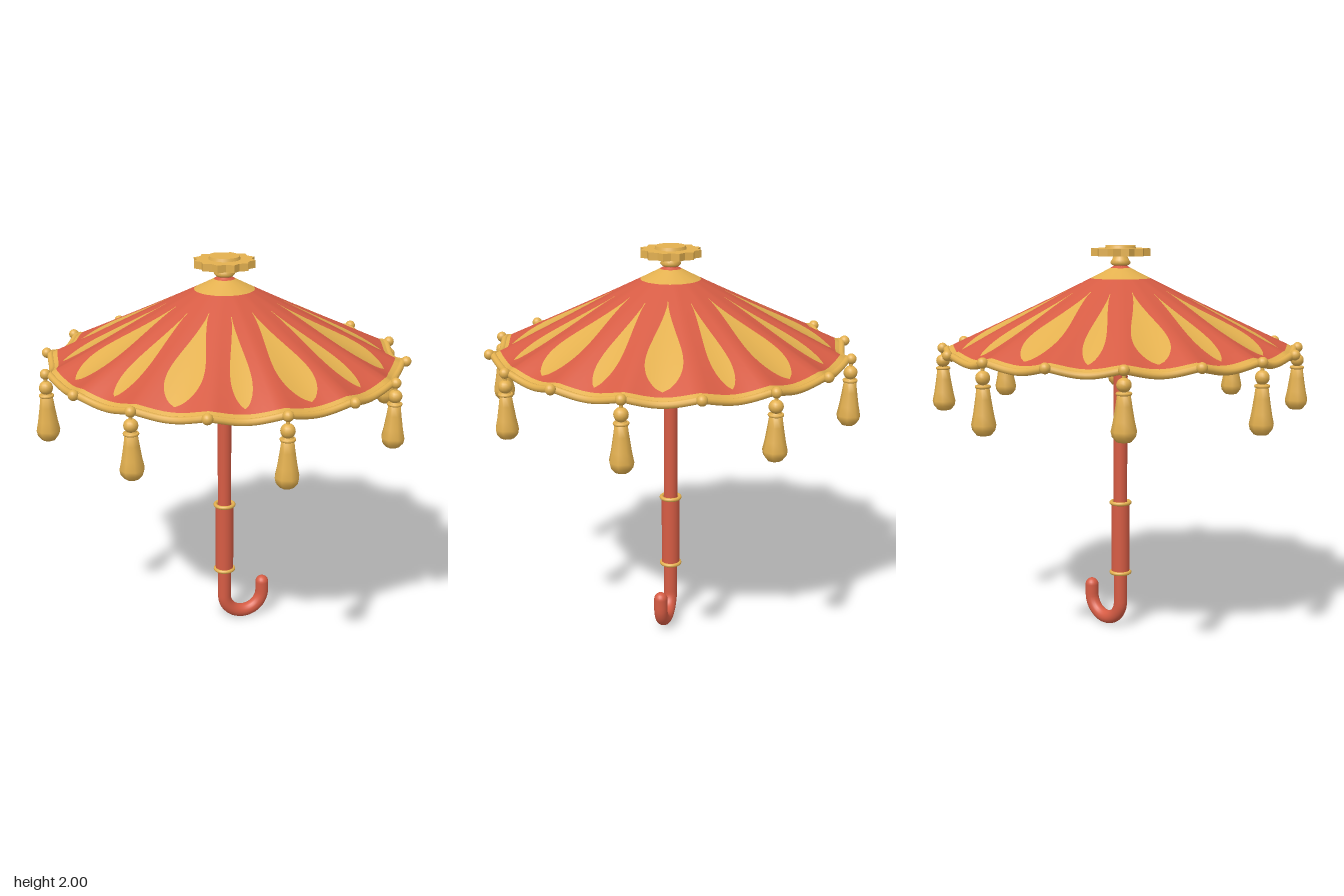
import * as THREE from 'three';
import { ParametricGeometry } from 'three/addons/geometries/ParametricGeometry.js';

const RIBS = 16;
const APEX = 0.03, SPAN = 0.85;

// Point on the canopy: angle around the shaft, t from apex (0) to rim (1).
// The cloth sags between ribs towards the rim, which scallops the edge.
function canopyPoint(angle, t, lift, target) {
  const sag = Math.pow(Math.abs(Math.sin(angle * RIBS / 2)), 1.25) * t * t;
  const r = (APEX + SPAN * t) * (1 - 0.03 * sag);
  const y = 1.9 - 0.41 * Math.pow(t, 0.96) - 0.028 * sag + lift;
  return target.set(r * Math.cos(angle), y, r * Math.sin(angle));
}

export function createModel() {
  const model = new THREE.Group();
  const mat = (name, color) => Object.assign(new THREE.MeshStandardMaterial({ color }), { name });
  const red = mat('red', 0xd65c44);
  const gold = mat('gold', 0xe3b04f);
  const lining = mat('cream lining', 0xe3d8c4);

  const add = (name, geometry, material, parent = model, x = 0, y = 0, z = 0) => {
    const mesh = new THREE.Mesh(geometry, material);
    mesh.name = name;
    mesh.position.set(x, y, z);
    parent.add(mesh);
    return mesh;
  };
  const lathe = (points, segments) =>
    new THREE.LatheGeometry(points.map(([x, y]) => new THREE.Vector2(x, y)), segments);

  // Canopy cloth in rings: red tip, gold cap, red field, gold hem, cream lining below
  const ring = (t0, t1, lift, dir, stacks) => new ParametricGeometry(
    (u, v, p) => canopyPoint(dir * u * Math.PI * 2, t0 + (t1 - t0) * v, lift, p), RIBS * 8, stacks);
  const tipT = 0.025, capT = 0.14, hemT = 0.96;
  add('canopyTip', ring(0, tipT, 0, 1, 1), red);
  add('canopyCap', ring(tipT, capT, 0, 1, 3), gold);
  add('canopyCloth', ring(capT, hemT, 0, 1, 16), red);
  add('canopyHem', ring(hemT, 1, 0, 1, 1), gold);
  add('canopyLining', ring(0, 1, -0.006, -1, 18), lining);

  // Teardrop petals, alternately narrow and wide, one in each gore
  const petals = new THREE.Group();
  petals.name = 'petals';
  model.add(petals);
  for (let i = 0; i < RIBS; i++) {
    const wide = i % 2 === 1;
    const middle = (i + 0.5) * Math.PI * 2 / RIBS;
    const half = wide ? 0.087 : 0.049;
    const t0 = wide ? 0.28 : 0.3, t1 = 0.93;
    const geometry = new ParametricGeometry((u, v, p) => {
      const t = t0 + (t1 - t0) * v;
      const bulge = Math.pow(Math.max(0, Math.sin(Math.PI * Math.pow(v, 2.1))), 0.66);
      const width = Math.max(0.002, half * bulge);
      canopyPoint(middle + (u * 2 - 1) * width / (APEX + SPAN * t), t, 0.004, p);
    }, 8, 32);
    add('petal', geometry, gold, petals);
  }

  // Rim cord following the scallops
  const rim = [];
  for (let i = 0; i < RIBS * 8; i++) {
    rim.push(canopyPoint(i * Math.PI * 2 / (RIBS * 8), 1, -0.006, new THREE.Vector3()));
  }
  add('rimCord', new THREE.TubeGeometry(new THREE.CatmullRomCurve3(rim, true), 256, 0.017, 10, true), gold);

  // Rib-end beads, with a tassel hung from every second one
  const bead = new THREE.SphereGeometry(0.026, 16, 12);
  const cord = new THREE.CylinderGeometry(0.009, 0.009, 0.08, 8);
  const knot = new THREE.SphereGeometry(0.034, 14, 10);
  const collar = new THREE.TorusGeometry(0.029, 0.008, 8, 16).rotateX(Math.PI / 2);
  const body = lathe([[0, -0.338], [0.034, -0.332], [0.053, -0.308], [0.058, -0.283],
    [0.048, -0.235], [0.037, -0.165], [0.028, -0.1], [0, -0.1]], 8);
  for (let i = 0; i < RIBS; i++) {
    const a = i * Math.PI * 2 / RIBS;
    const x = 0.9 * Math.cos(a), z = 0.9 * Math.sin(a);
    add('ribBead', bead, gold, model, x, 1.488, z);
    if (i % 2) continue;
    const tassel = new THREE.Group();
    tassel.name = 'tassel';
    tassel.position.set(x, 1.488, z);
    tassel.scale.y = i % 4 ? 0.95 : 1;
    add('tasselCord', cord, gold, tassel, 0, -0.03, 0);
    add('tasselKnot', knot, gold, tassel, 0, -0.068, 0);
    add('tasselCollar', collar, gold, tassel, 0, -0.108, 0);
    add('tasselBody', body, gold, tassel);
    model.add(tassel);
  }

  // Shaft, grip and grip rings
  add('shaft', new THREE.CylinderGeometry(0.035, 0.035, 1.736, 24), red, model, 0, 1.038, 0);
  add('grip', new THREE.CylinderGeometry(0.047, 0.047, 0.375, 24), red, model, 0, 0.493, 0);
  for (const y of [0.306, 0.681]) {
    add('gripRing', new THREE.TorusGeometry(0.048, 0.01, 10, 28).rotateX(Math.PI / 2), gold, model, 0, y, 0);
  }

  // Hooked handle with a rounded tip
  const R = 0.107, hookY = 0.142, tipY = 0.192;
  const hook = new THREE.CurvePath();
  const arc = [];
  for (let i = 0; i <= 16; i++) {
    const a = Math.PI * (1 + i / 16);
    arc.push(new THREE.Vector3(R + R * Math.cos(a), hookY + R * Math.sin(a), 0));
  }
  hook.add(new THREE.LineCurve3(new THREE.Vector3(0, 0.2, 0), arc[0]));
  hook.add(new THREE.CatmullRomCurve3(arc));
  hook.add(new THREE.LineCurve3(arc[16], new THREE.Vector3(2 * R, tipY, 0)));
  add('hookHandle', new THREE.TubeGeometry(hook, 48, 0.035, 20), red);
  add('hookTip', new THREE.SphereGeometry(0.035, 20, 12), red, model, 2 * R, tipY, 0);

  // Finial: neck, toothed disc and raised boss
  add('finialNeck', lathe([[0, 1.9], [0.042, 1.902], [0.052, 1.914], [0.044, 1.928], [0.032, 1.952]], 20), gold);
  const star = new THREE.Shape();
  for (let i = 0; i < 24; i++) {
    const a = i * Math.PI / 12, r = i % 2 ? 0.132 : 0.153;
    star[i ? 'lineTo' : 'moveTo'](r * Math.cos(a), r * Math.sin(a));
  }
  star.closePath();
  const disc = new THREE.ExtrudeGeometry(star, { depth: 0.037, bevelEnabled: false }).rotateX(-Math.PI / 2);
  add('finialDisc', disc, gold, model, 0, 1.948, 0);
  add('finialBoss', new THREE.CylinderGeometry(0.074, 0.08, 0.02, 28), gold, model, 0, 1.99, 0);

  return model;
}
